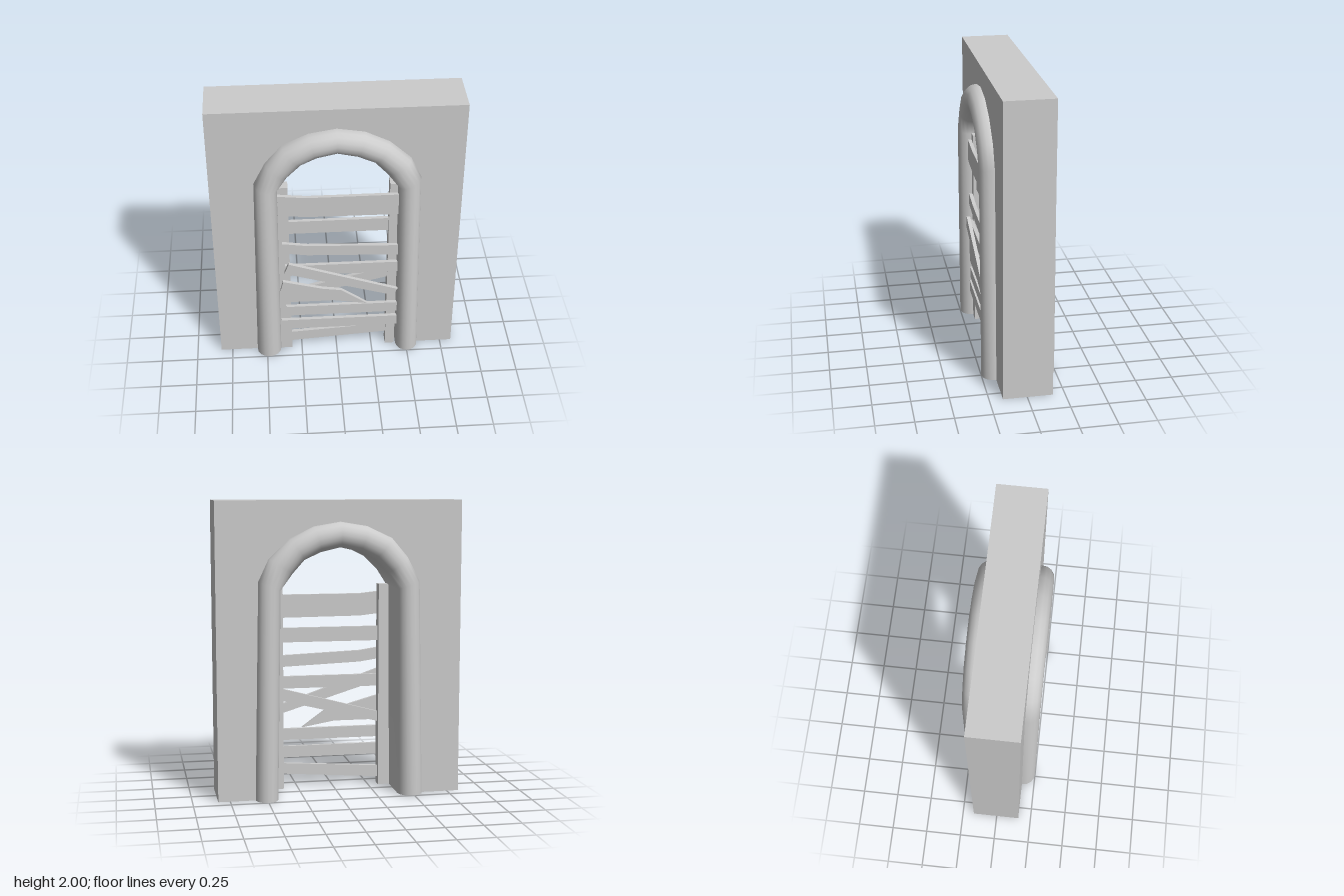
import * as THREE from 'three';

const material = new THREE.MeshStandardMaterial({ color: 0xcccccc });
const openMaterial = new THREE.MeshStandardMaterial({ color: 0xcccccc, side: THREE.DoubleSide });

// Arch stations: outer x, outer y, inner x, inner y
const arch = [
  [-0.57, 0, -0.40, 0],
  [-0.54, 1.46, -0.39, 1.41],
  [-0.46, 1.62, -0.32, 1.52],
  [-0.35, 1.75, -0.23, 1.61],
  [-0.18, 1.83, -0.13, 1.66],
  [0, 1.86, 0, 1.69],
  [0.18, 1.83, 0.13, 1.66],
  [0.34, 1.75, 0.24, 1.61],
  [0.48, 1.62, 0.32, 1.52],
  [0.55, 1.47, 0.40, 1.41],
  [0.58, 0, 0.425, 0],
];

// Flat outline extruded from z0 to z1
function slab(name, points, z0, z1) {
  const shape = new THREE.Shape(points.map(([x, y]) => new THREE.Vector2(x, y)));
  const geometry = new THREE.ExtrudeGeometry(shape, { depth: z1 - z0, bevelEnabled: false });
  geometry.translate(0, 0, z0);
  const mesh = new THREE.Mesh(geometry, material);
  mesh.name = name;
  return mesh;
}

// Rounded stadium section swept around the arch, open at the feet
function archFrame() {
  const half = 8, count = 2 * (half + 1);
  const positions = [], index = [];
  for (const [ox, oy, ix, iy] of arch) {
    for (let j = 0; j < count; j++) {
      const back = j > half;
      const a = ((back ? j - 1 : j) / half) * Math.PI;
      const t = 0.5 + 0.5 * Math.cos(a);
      positions.push(
        ix + (ox - ix) * t,
        iy + (oy - iy) * t,
        (back ? -0.165 : 0.165) + 0.085 * Math.sin(a)
      );
    }
  }
  for (let i = 0; i < arch.length - 1; i++) {
    for (let j = 0; j < count; j++) {
      const k = (j + 1) % count;
      const a = i * count + j, b = i * count + k;
      const c = a + count, d = b + count;
      index.push(a, b, c, b, d, c);
    }
  }
  const geometry = new THREE.BufferGeometry();
  geometry.setAttribute('position', new THREE.Float32BufferAttribute(positions, 3));
  geometry.setIndex(index);
  geometry.computeVertexNormals();
  const mesh = new THREE.Mesh(geometry, openMaterial);
  mesh.name = 'archFrame';
  return mesh;
}

export function createModel() {
  const group = new THREE.Group();
  group.name = 'boardedArchway';

  // Wall, its opening hidden inside the arch frame
  const opening = arch.map(([ox, oy, ix, iy]) => [ix + (ox - ix) * 0.35, iy + (oy - iy) * 0.35]);
  group.add(slab('wall', [[0.83, 0], [0.83, 2], [-0.83, 2], [-0.83, 0], ...opening], -0.17, 0.16));
  group.add(archFrame());

  // Posts
  for (const [name, x0, x1] of [['rightPost', -0.4, -0.32], ['leftPost', 0.35, 0.415]]) {
    group.add(slab(name, [[x0, 0], [x1, 0], [x1, 1.42], [x0, 1.42]], 0.09, 0.165));
  }

  // Boards nailed across the front of the posts
  const front = [
    [[-0.39, 1.37], [-0.2, 1.35], [0.415, 1.35], [0.415, 1.19], [-0.2, 1.195], [-0.39, 1.215]],
    [[-0.37, 0.975], [-0.2, 0.95], [0.42, 0.925], [0.42, 0.845], [-0.2, 0.87], [-0.37, 0.895]],
    [[-0.355, 0.78], [0.42, 0.78], [0.42, 0.695], [-0.355, 0.695]],
    [[-0.355, 0.41], [0.425, 0.41], [0.425, 0.33], [-0.355, 0.33]],
    [[-0.39, 0.285], [0.425, 0.285], [0.425, 0.205], [-0.39, 0.205]],
  ];
  front.forEach((points) => group.add(slab('frontBoard', points, 0.165, 0.19)));

  // Broken board ending in a splinter, and a loose diagonal board over it
  group.add(slab('brokenBoard', [[-0.39, 0.56], [-0.37, 0.64], [-0.1, 0.565], [0.03, 0.545],
    [0.21, 0.415], [-0.02, 0.455], [-0.355, 0.455]], 0.165, 0.19));
  group.add(slab('diagonalBoard', [[-0.33, 0.815], [0.42, 0.555], [0.38, 0.505], [-0.36, 0.735]], 0.19, 0.215));

  // Boards set between the posts
  const inset = [
    [[-0.32, 1.125], [0.35, 1.125], [0.35, 1.025], [-0.32, 1.025]],
    [[-0.32, 0.52], [0.35, 0.7], [0.35, 0.615], [-0.32, 0.45]],
    [[-0.32, 0.13], [0.35, 0.175], [0.35, 0.1], [-0.32, 0.05]],
  ];
  inset.forEach((points) => group.add(slab('insetBoard', points, 0.12, 0.145)));

  return group;
}
